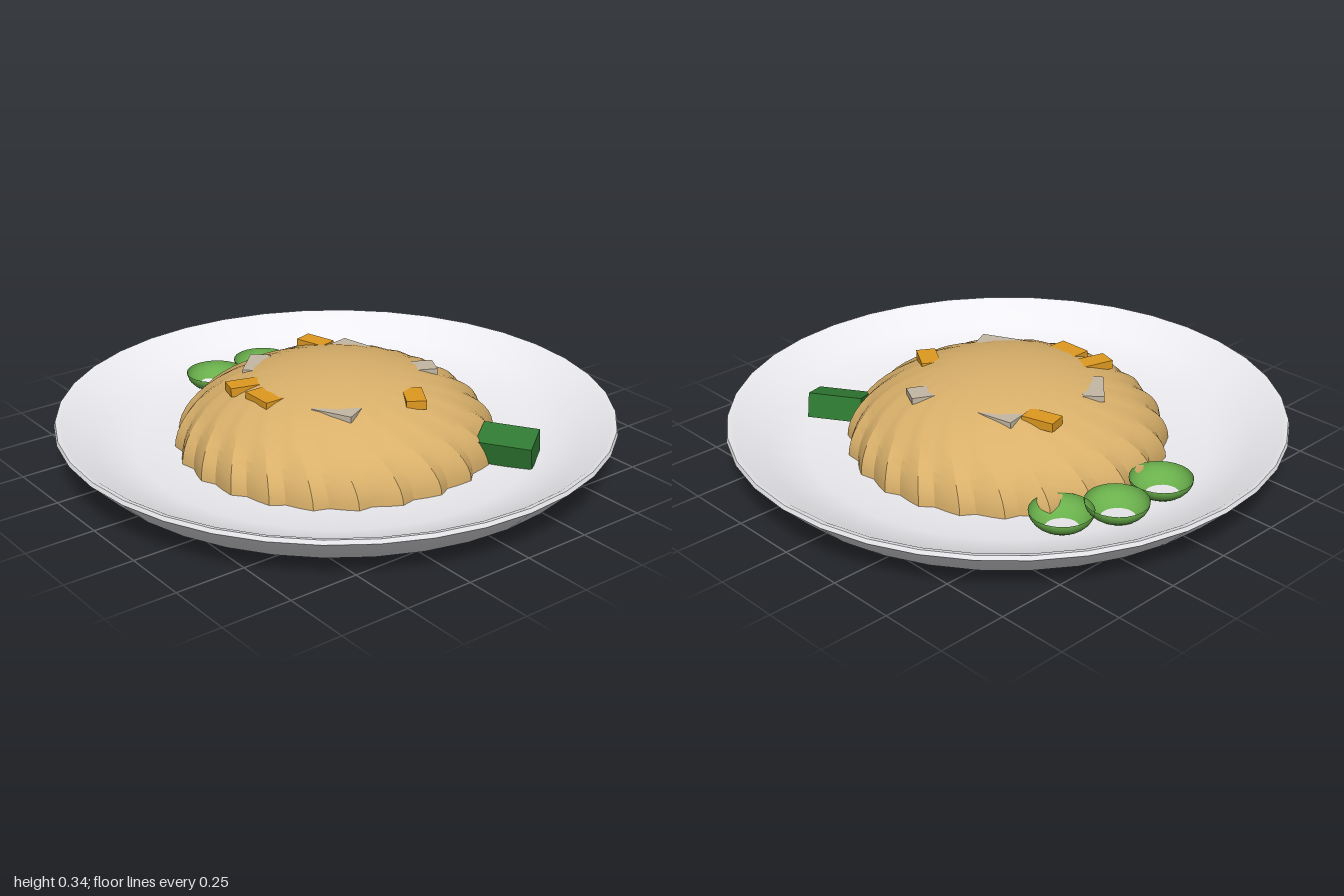
import * as THREE from 'three';
import { mergeVertices, toCreasedNormals } from 'three/addons/utils/BufferGeometryUtils.js';

const mat = (color, extra = {}) => new THREE.MeshStandardMaterial({ color, ...extra });

function add(group, name, geometry, material, x = 0, y = 0, z = 0) {
  const mesh = new THREE.Mesh(geometry, material);
  mesh.name = name;
  mesh.position.set(x, y, z);
  group.add(mesh);
  return mesh;
}

// Shallow dome with sharp pleats that twist towards the crown
function pleatedDome(radius, height, pleats) {
  const steps = 3;
  const sphere = new THREE.SphereGeometry(1, pleats * steps, 16, 0, Math.PI * 2, 0, Math.PI / 2);
  sphere.deleteAttribute('normal');
  sphere.deleteAttribute('uv');
  const geo = mergeVertices(sphere, 1e-4);
  const p = geo.attributes.position;
  for (let i = 0; i < p.count; i++) {
    const x = p.getX(i), y = p.getY(i), z = p.getZ(i);
    const r = Math.hypot(x, z);
    const angle = Math.atan2(z, x);
    const step = Math.round(angle / (Math.PI * 2) * pleats * steps + pleats * steps) % steps;
    const fold = 1 - 0.02 * step * r;
    const twist = angle + 0.7 * (1 - r);
    p.setXYZ(i, Math.cos(twist) * r * radius * fold, y * height, Math.sin(twist) * r * radius * fold);
  }
  return toCreasedNormals(geo, 0.45);
}

export function createModel() {
  const model = new THREE.Group();
  model.name = 'plateOfFood';

  // Plate: foot, flared side, thin rim and dished inside
  const profile = [
    [0, 0], [0.7, 0], [0.76, 0.03], [0.9, 0.06], [1, 0.16], [0.995, 0.175],
    [0.975, 0.17], [0.87, 0.1], [0.72, 0.06], [0.5, 0.05], [0, 0.05],
  ].map(([r, y]) => new THREE.Vector2(r, y));
  add(model, 'plate', toCreasedNormals(new THREE.LatheGeometry(profile, 36), 0.7), mat(0xeeeef2));

  // Pleated bun
  add(model, 'bun', pleatedDome(0.58, 0.29, 24), mat(0xd9b06a, { side: THREE.DoubleSide }), 0, 0.05, 0);

  // Toppings half sunk in the bun: x, z, turn, length, width
  const toppings = (name, color, height, list) => {
    const group = new THREE.Group();
    group.name = name;
    const material = mat(color);
    list.forEach(([x, z, turn, length, width]) => {
      add(group, name + 'Piece', new THREE.BoxGeometry(length, height, width), material, x, 0.286, z).rotation.y = turn;
    });
    model.add(group);
  };
  toppings('orangeChunks', 0xe09a20, 0.032, [
    [-0.31, -0.14, 0.27, 0.12, 0.07],
    [0.31, -0.1, -0.55, 0.12, 0.07],
    [-0.13, 0.3, 1.29, 0.13, 0.07],
    [0, 0.31, 0, 0.125, 0.075],
  ]);
  toppings('paleFlakes', 0xc4b8a4, 0.022, [
    [-0.19, -0.22, 0.2, 0.14, 0.08],
    [0.11, -0.29, 1.1, 0.12, 0.085],
    [-0.27, 0.155, -0.8, 0.155, 0.075],
    [0.235, 0.18, 0.45, 0.15, 0.08],
  ]);

  // Green cups: open lower halves of flattened spheres
  const cup = new THREE.SphereGeometry(0.11, 24, 10, 0, Math.PI * 2, Math.PI / 2, Math.PI / 2);
  cup.scale(1, 0.65, 1);
  const green = mat(0x6ab04c, { side: THREE.DoubleSide });
  [[-0.57, -0.31], [-0.655, -0.135], [-0.655, 0.085]].forEach(([x, z]) =>
    add(model, 'greenCup', cup, green, x, 0.118, z));

  // Tilted green block leaning against the bun
  const block = add(model, 'greenBlock', new THREE.BoxGeometry(0.2, 0.09, 0.12), mat(0x2f7a32), 0.525, 0.115, -0.35);
  block.rotation.set(0.25, 0.56, 0, 'YXZ');

  return model;
}
